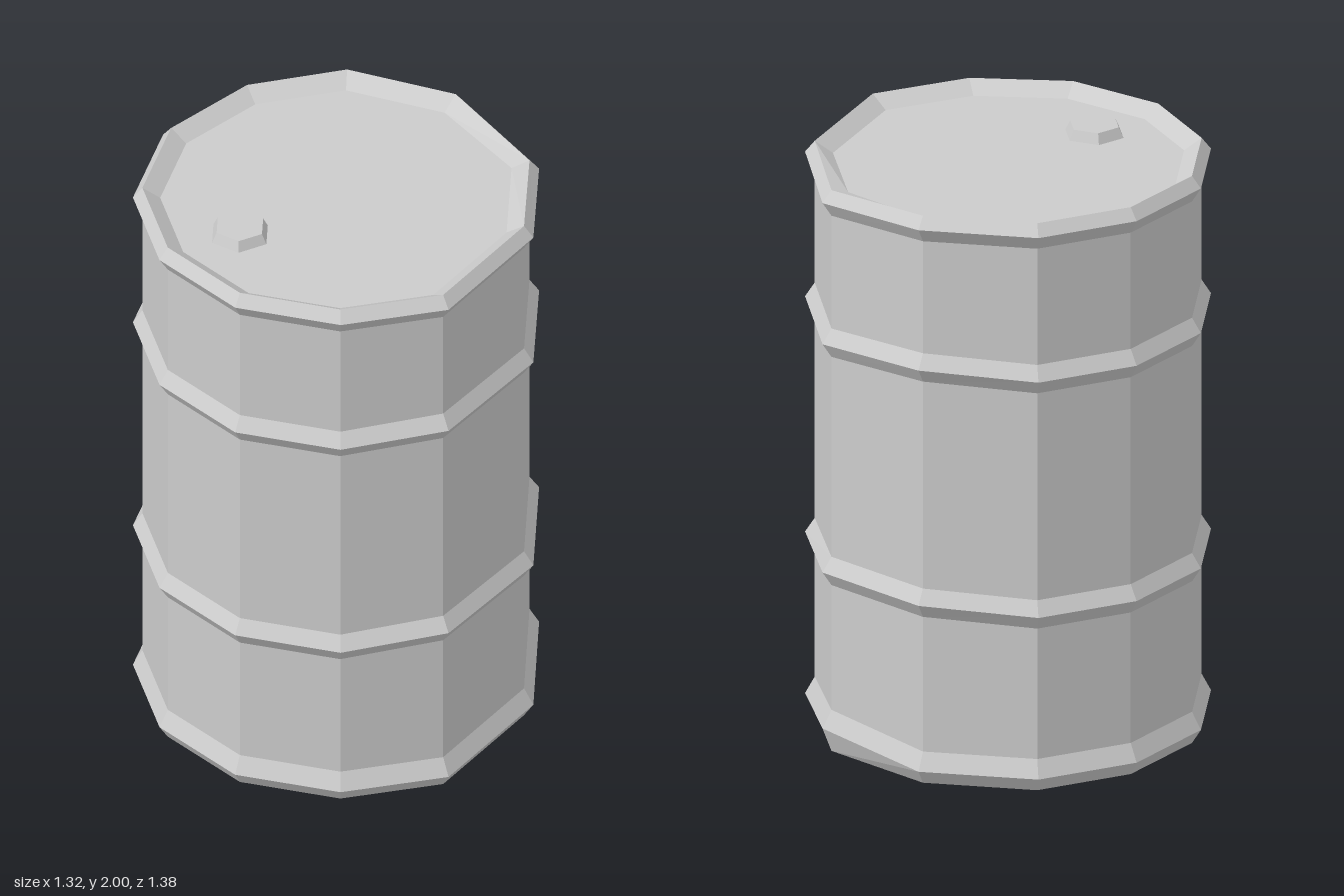
import * as THREE from 'three';

// Uneven eleven-sided outline of the barrel at its widest, as [x, z], clockwise from above
const OUTLINE = [
  [0.01, -0.695], [0.39, -0.57], [0.66, -0.23], [0.66, 0.18], [0.4, 0.59], [0.05, 0.69],
  [-0.3, 0.61], [-0.56, 0.36], [-0.663, 0.02], [-0.58, -0.33], [-0.33, -0.59],
];
const WALL = 0.953;
const LID = 0.865;
const LID_Y = 1.96;

// Small dents: height shift of single outline corners, by corner index
const DENT_BASE = { 2: 0.035 };
const DENT_LOW = { 1: 0.015, 2: 0.015, 4: 0.018 };
const DENT_HIGH = { 1: 0.015, 2: -0.01, 4: 0.015 };
const DENT_RIM = { 2: -0.022 };

// Skin stacked copies of the outline; each row is [scale, y, dents]
function loft(rows) {
  const point = ([s, y, dents = {}], i) => {
    const k = i % OUTLINE.length;
    return [OUTLINE[k][0] * s, y + (dents[k] ?? 0), OUTLINE[k][1] * s];
  };
  const pos = [];
  for (let r = 0; r < rows.length - 1; r++) {
    const [low, high] = [rows[r], rows[r + 1]];
    for (let i = 0; i < OUTLINE.length; i++) {
      const a = point(low, i), b = point(high, i);
      const c = point(low, i + 1), d = point(high, i + 1);
      if (low[0] > 0) pos.push(...a, ...b, ...c);
      if (high[0] > 0) pos.push(...b, ...d, ...c);
    }
  }
  const geo = new THREE.BufferGeometry();
  geo.setAttribute('position', new THREE.Float32BufferAttribute(pos, 3));
  geo.computeVertexNormals();
  return geo;
}

// Pointed hoop running around the wall
const hoop = (y, dents) => [[WALL, y - 0.05, dents], [1, y, dents], [WALL, y + 0.05, dents]];

export function createModel() {
  const group = new THREE.Group();
  group.name = 'barrel';
  const material = new THREE.MeshStandardMaterial({ color: 0xcccccc, flatShading: true });
  const add = (name, geometry) => {
    const mesh = new THREE.Mesh(geometry, material);
    mesh.name = name;
    group.add(mesh);
    return mesh;
  };

  // Closed bottom, bottom rim, wall with two hoops, top rim
  add('body', loft([
    [0, 0],
    [WALL, 0],
    [1, 0.05, DENT_BASE],
    [WALL, 0.11, DENT_BASE],
    ...hoop(0.62, DENT_LOW),
    ...hoop(1.45, DENT_HIGH),
    [WALL, 1.91, DENT_RIM],
    [1, 1.96, DENT_RIM],
    [WALL, 2, DENT_RIM],
    [LID, LID_Y],
  ]));

  // Flat lid set slightly below the rim
  add('lid', loft([[LID, LID_Y], [0, LID_Y]]));

  // Six-sided bung
  const height = 0.035;
  add('bung', new THREE.CylinderGeometry(0.086, 0.103, height, 6))
    .position.set(-0.303, LID_Y + height / 2, 0.205);

  return group;
}
